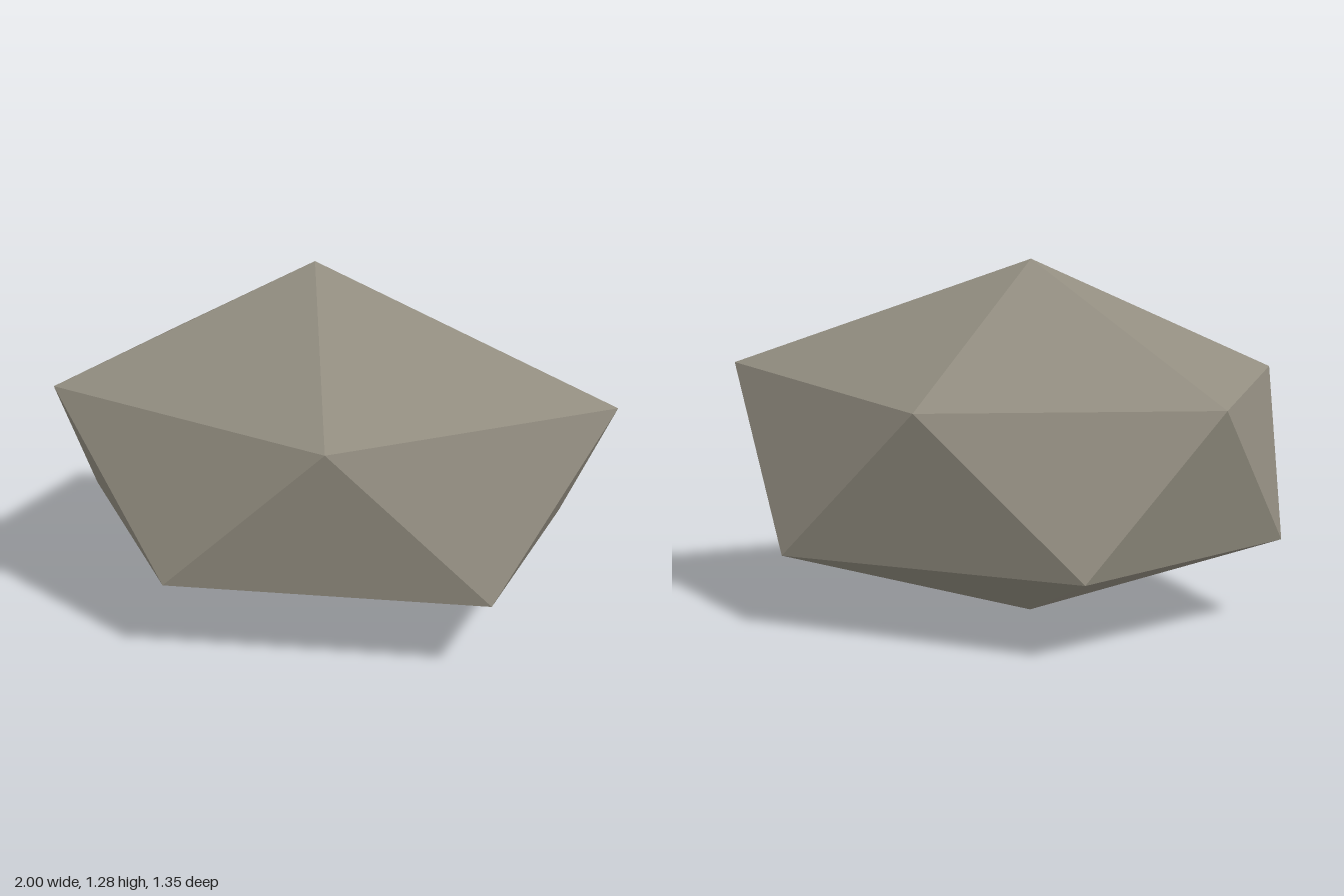
import * as THREE from 'three';

// A faceted boulder: two staggered five-point rings closed by a peak and a base point.
export function createModel() {
  const model = new THREE.Group();
  model.name = 'boulder';

  const stone = new THREE.MeshStandardMaterial({ color: 0x928d80, flatShading: true });
  stone.name = 'stone';

  const peak = [-0.1, 1.28, 0];
  const base = [-0.1, 0, 0];
  const upper = [[1, 0.88, 0], [0.17, 0.815, 0.6], [-0.92, 0.855, 0.43], [-0.83, 0.83, -0.4], [0.18, 0.83, -0.645]];
  const lower = [[0.7, 0.275, 0.42], [-0.4, 0.28, 0.675], [-1, 0.305, 0], [-0.4, 0.285, -0.675], [0.7, 0.275, -0.44]];

  // Each fifth holds a crown facet, two side facets and an underside facet
  const corners = [];
  for (let i = 0; i < 5; i++) {
    const j = (i + 1) % 5;
    corners.push(
      peak, upper[j], upper[i],
      upper[i], upper[j], lower[i],
      lower[i], upper[j], lower[j],
      base, lower[i], lower[j],
    );
  }

  const geometry = new THREE.BufferGeometry();
  geometry.setAttribute('position', new THREE.Float32BufferAttribute(corners.flat(), 3));
  geometry.computeVertexNormals();

  const rock = new THREE.Mesh(geometry, stone);
  rock.name = 'rock';
  model.add(rock);
  return model;
}
